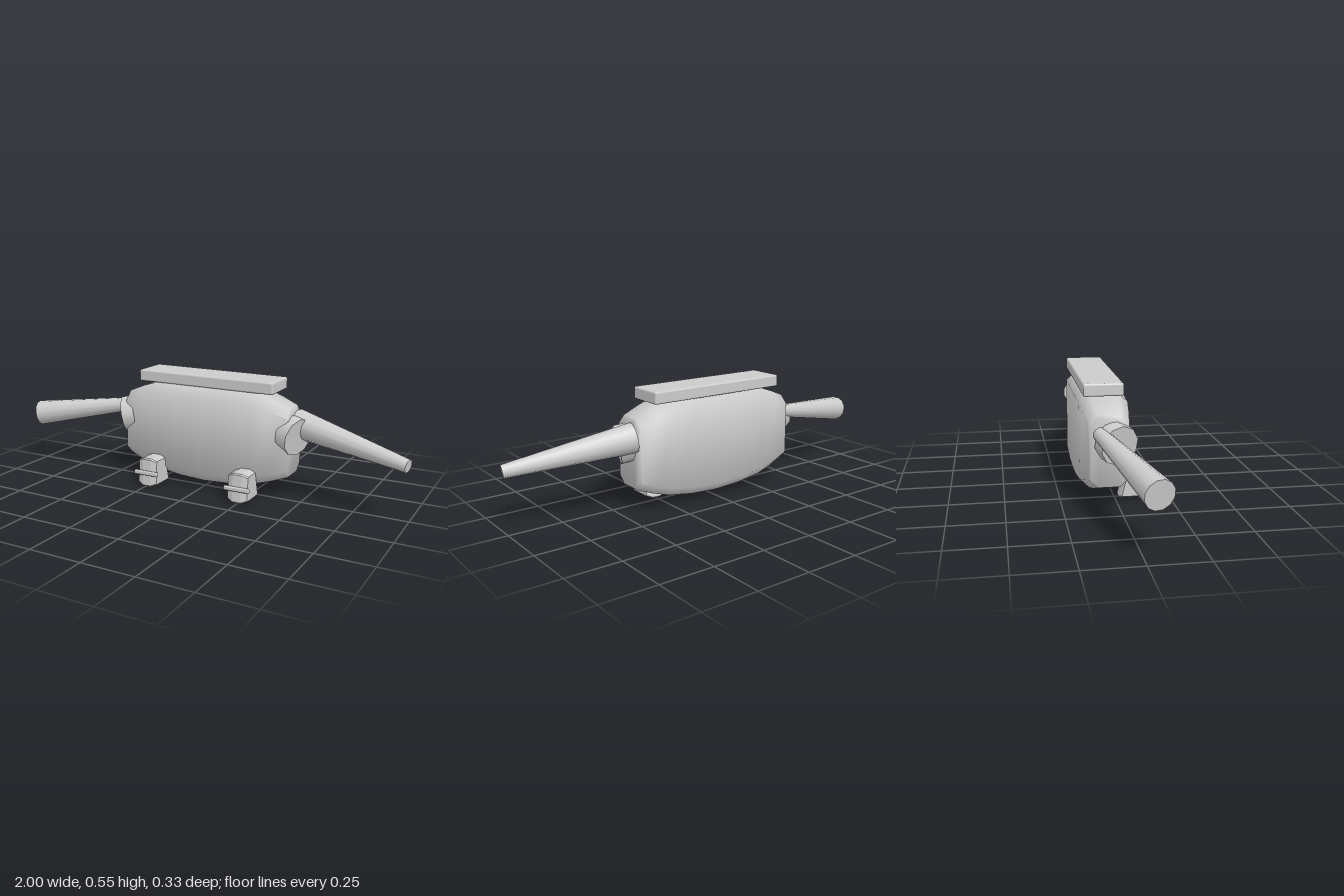
import * as THREE from 'three';
import { toCreasedNormals } from 'three/addons/utils/BufferGeometryUtils.js';
import { RoundedBoxGeometry } from 'three/addons/geometries/RoundedBoxGeometry.js';

const grey = new THREE.MeshStandardMaterial({ color: 0xcccccc });
grey.name = 'light grey';

function add(group, name, geometry, x = 0, y = 0, z = 0) {
  const mesh = new THREE.Mesh(geometry, grey);
  mesh.name = name;
  mesh.position.set(x, y, z);
  group.add(mesh);
  return mesh;
}

// Skin closed [y, z] rings placed along x, with flat end caps
function loft(rings, crease) {
  const pos = [], idx = [], n = rings[0].pts.length, last = (rings.length - 1) * n;
  for (const { x, pts } of rings) for (const [y, z] of pts) pos.push(x, y, z);
  for (let i = 0; i < rings.length - 1; i++) {
    for (let j = 0; j < n; j++) {
      const a = i * n + j, b = i * n + (j + 1) % n;
      idx.push(a, b, a + n, b, b + n, a + n);
    }
  }
  for (let j = 1; j < n - 1; j++) idx.push(0, j + 1, j, last, last + j, last + j + 1);
  const g = new THREE.BufferGeometry();
  g.setAttribute('position', new THREE.Float32BufferAttribute(pos, 3));
  g.setIndex(idx);
  return toCreasedNormals(g, crease);
}

// Rectangle with cut corners
const octagon = (y0, y1, z0, z1, c) => [
  [y1, z0 + c], [y1, z1 - c], [y1 - c, z1], [y0 + c, z1],
  [y0, z1 - c], [y0, z0 + c], [y0 + c, z0], [y1 - c, z0],
];

// Cylinder between two points
function rod(group, name, from, to, r0, r1, sides) {
  const a = new THREE.Vector3(...from), b = new THREE.Vector3(...to);
  const dir = b.clone().sub(a);
  const mesh = add(group, name, new THREE.CylinderGeometry(r1, r0, dir.length(), sides));
  mesh.position.copy(a).add(b).multiplyScalar(0.5);
  mesh.quaternion.setFromUnitVectors(new THREE.Vector3(0, 1, 0), dir.normalize());
}

export function createModel() {
  const model = new THREE.Group();
  model.name = 'barrelBody';

  // Barrel-shaped body: x, bottom, top, back, front, corner cut
  const half = [
    [0, 0.03, 0.5, -0.165, 0.063, 0.045],
    [0.14, 0.037, 0.499, -0.165, 0.062, 0.045],
    [0.27, 0.056, 0.493, -0.162, 0.057, 0.044],
    [0.35, 0.079, 0.467, -0.153, 0.048, 0.042],
    [0.43, 0.108, 0.435, -0.139, 0.036, 0.038],
    [0.438, 0.115, 0.422, -0.132, 0.03, 0.035],
  ];
  const all = [...half.slice(1).reverse().map(([x, ...r]) => [-x, ...r]), ...half];
  add(model, 'body', loft(all.map(([x, ...r]) => ({ x, pts: octagon(...r) })), 0.9));

  // Flat slab on top
  add(model, 'topSlab', new RoundedBoxGeometry(0.715, 0.057, 0.178, 2, 0.009), 0, 0.5235, -0.063);

  // Foot block: tapered side outline, bevelled towards both sides
  const outline = [
    [0.14, 0.056], [0.14, 0.142], [0.134, 0.148], [0.006, 0.158],
    [0, 0.152], [0, 0.024], [0.006, 0.018], [0.134, 0.05],
  ];
  const inset = outline.map(([y, z]) => [0.07 + (y - 0.07) * 0.83, 0.09 + (z - 0.09) * 0.83]);
  const foot = loft([
    { x: -0.05, pts: inset }, { x: -0.022, pts: outline },
    { x: 0.022, pts: outline }, { x: 0.05, pts: inset },
  ], 0.35);

  for (const [side, s] of [['left', 1], ['right', -1]]) {
    // Shoulder disc, tilted forward and down
    rod(model, side + 'Shoulder', [s * 0.417, 0.316, -0.034], [s * 0.474, 0.305, -0.011], 0.09, 0.09, 10);
    // Arm: narrows outward on the left, flares outward on the right
    rod(model, side + 'Arm', [s * 0.435, 0.35, -0.092], [s * (s > 0 ? 0.99 : 0.982), 0.264, 0.047],
      s > 0 ? 0.069 : 0.031, s > 0 ? 0.03 : 0.064, 12);
    add(model, side + 'Foot', foot, s * 0.245);
    add(model, side + 'FootBar', new RoundedBoxGeometry(0.13, 0.021, 0.018, 2, 0.006), s * 0.245, 0.069, 0.157);
  }
  return model;
}
